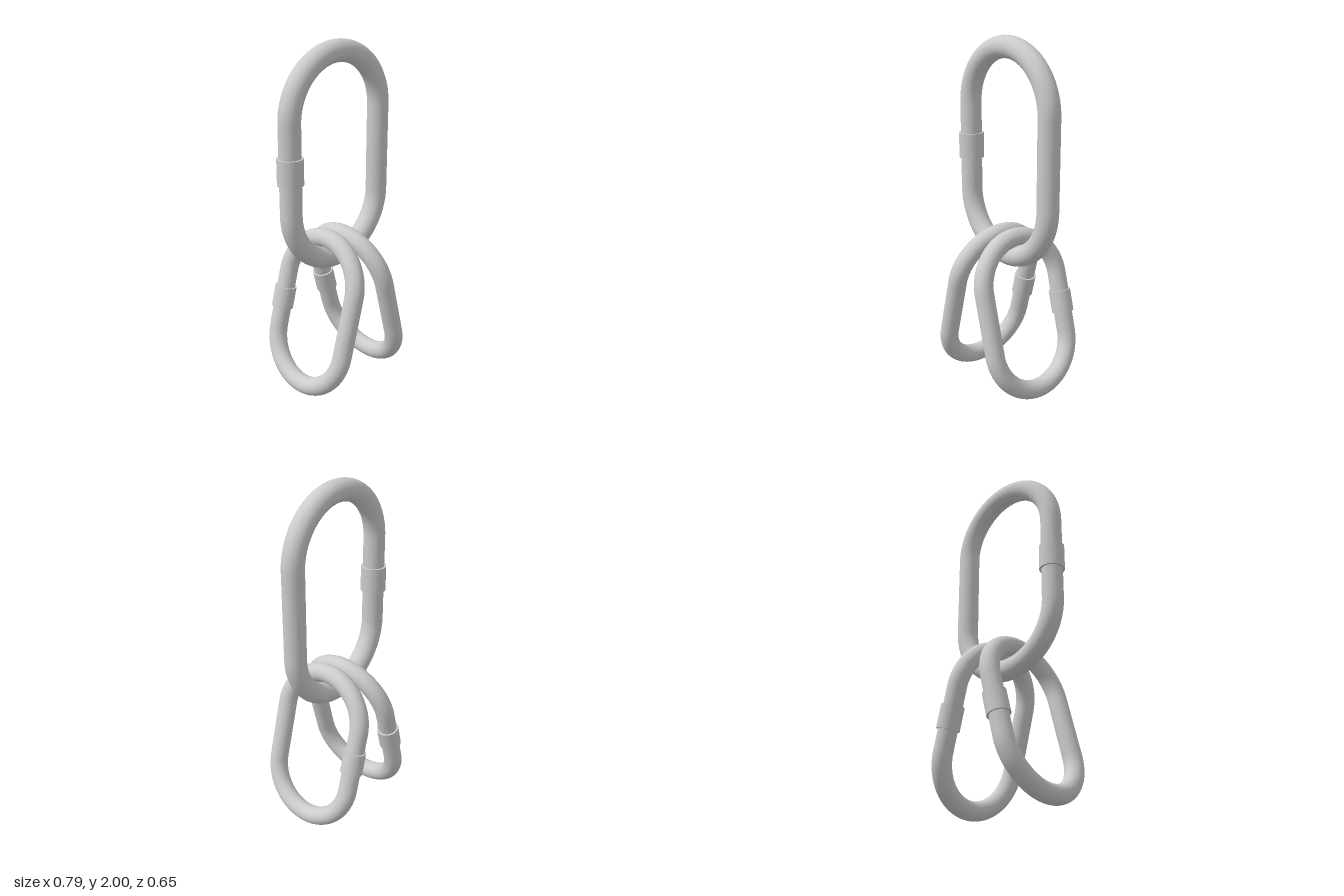
import * as THREE from 'three';

// Stadium-shaped centre line in the xy plane: two half circles joined by straights
class OvalCurve extends THREE.Curve {
  constructor(radius, halfStraight) {
    super();
    this.radius = radius;
    this.halfStraight = halfStraight;
  }
  getPoint(t, target = new THREE.Vector3()) {
    const r = this.radius, h = this.halfStraight;
    const arc = Math.PI * r, side = 2 * h;
    let d = (t % 1) * 2 * (arc + side);
    const flip = d >= arc + side ? -1 : 1;
    if (flip < 0) d -= arc + side;
    if (d < side) return target.set(flip * r, flip * (d - h), 0);
    const a = (d - side) / r;
    return target.set(flip * r * Math.cos(a), flip * (h + r * Math.sin(a)), 0);
  }
}

const material = new THREE.MeshStandardMaterial({ color: 0xcccccc });

// Round-bar oval ring with a weld sleeve on its -x straight
function createLink(name, { radius, halfStraight, bar, sleeveRadius, sleeveLength, sleeveY }) {
  const link = new THREE.Group();
  link.name = name;

  const curve = new OvalCurve(radius, halfStraight);
  curve.arcLengthDivisions = 800;
  const ring = new THREE.Mesh(new THREE.TubeGeometry(curve, 220, bar, 40, true), material);
  ring.name = name + 'Ring';

  const sleeve = new THREE.Mesh(
    new THREE.CylinderGeometry(sleeveRadius, sleeveRadius, sleeveLength, 48), material);
  sleeve.name = name + 'Sleeve';
  sleeve.position.set(-radius, sleeveY, 0);

  link.add(ring, sleeve);
  return link;
}

export function createModel() {
  const model = new THREE.Group();
  model.name = 'chainLinkAssembly';

  // Large upright master link
  const master = createLink('masterLink', {
    radius: 0.33, halfStraight: 0.247, bar: 0.06,
    sleeveRadius: 0.071, sleeveLength: 0.145, sleeveY: 0,
  });
  master.position.set(0.004, 1.363, 0.003);
  model.add(master);

  // Two smaller links hanging from it, splayed apart with sleeves to the back
  for (const side of [-1, 1]) {
    const hanging = createLink(side > 0 ? 'leftLink' : 'rightLink', {
      radius: 0.265, halfStraight: 0.172, bar: 0.053,
      sleeveRadius: 0.063, sleeveLength: 0.13, sleeveY: 0.005,
    });
    hanging.rotation.set(0, -Math.PI / 2, side * THREE.MathUtils.degToRad(15), 'ZYX');
    hanging.position.set(0.004 + side * 0.169, 0.477, 0.003);
    model.add(hanging);
  }

  return model;
}
